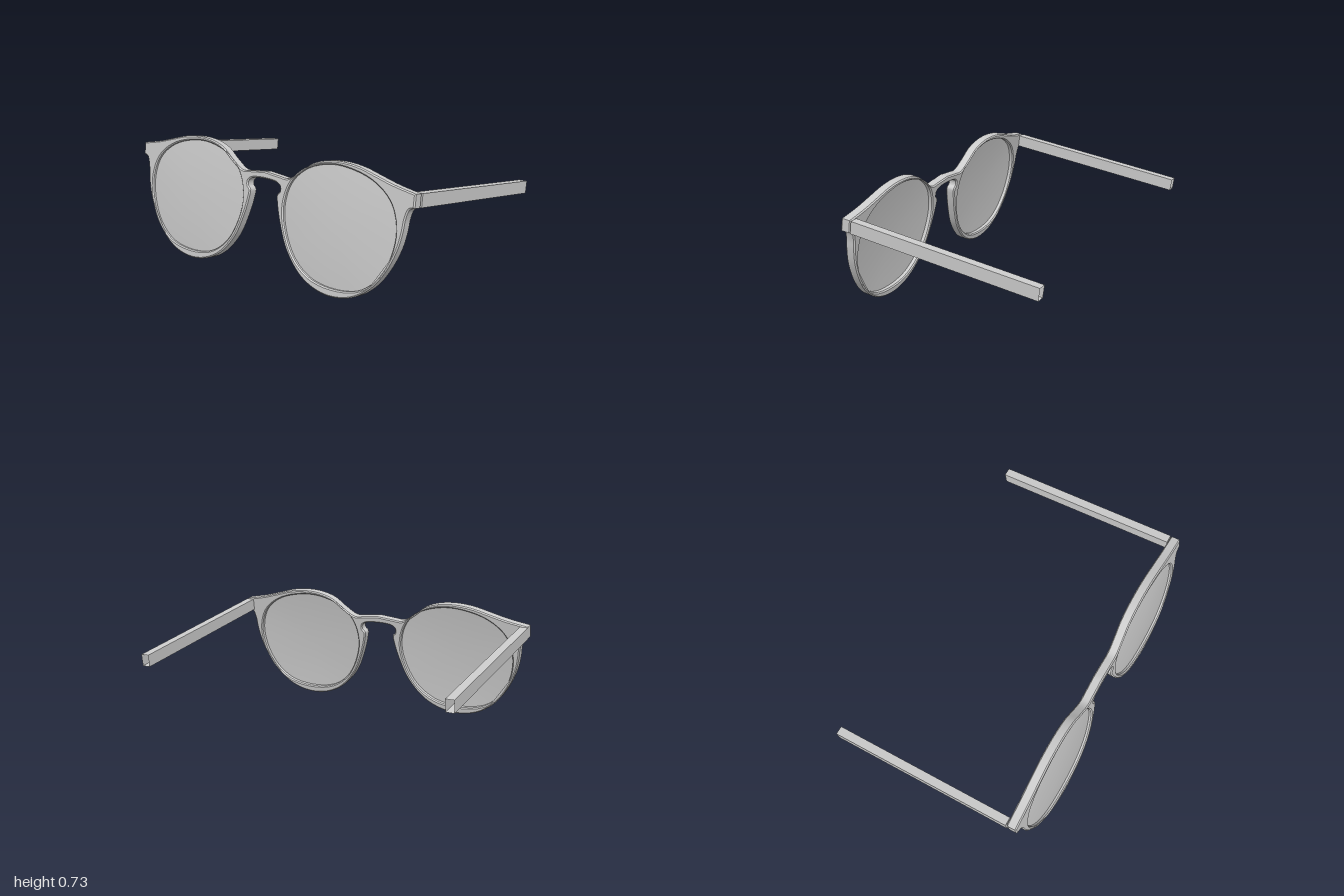
import * as THREE from 'three';
import { toCreasedNormals } from 'three/addons/utils/BufferGeometryUtils.js';

const TILT = THREE.MathUtils.degToRad(-8);
const DEPTH = 0.06;
const BEVEL = 0.007;

// Heights are given upright; lay them into the tilted plane of the front.
const toPlane = ([x, y]) => new THREE.Vector3(x, (y - 0.008) / 0.99, 0);

function smooth(points, count, closed = false) {
  const curve = new THREE.CatmullRomCurve3(points.map(toPlane), closed);
  const out = curve.getPoints(count).map((p) => new THREE.Vector2(p.x, p.y));
  if (closed) out.pop();
  return out;
}

const mirror = (points) => points.map((p) => new THREE.Vector2(-p.x, p.y)).reverse();

// Brow line, from the bridge to the outer corner
const BROW = [[0, 0.6], [0.1, 0.59], [0.17, 0.586], [0.25, 0.632], [0.33, 0.69], [0.425, 0.72],
  [0.53, 0.728], [0.64, 0.717], [0.757, 0.687], [0.86, 0.66], [0.998, 0.634]];

// Outer corner, round the rim, up to the nose notch and under the bridge
const RIM = [[0.998, 0.562], [0.968, 0.55], [0.95, 0.5], [0.943, 0.44], [0.922, 0.345], [0.865, 0.22],
  [0.785, 0.115], [0.67, 0.037], [0.53, 0.009], [0.41, 0.027], [0.3, 0.083], [0.195, 0.2],
  [0.135, 0.335], [0.105, 0.44], [0.1, 0.485], [0.118, 0.505], [0.118, 0.532], [0.095, 0.55],
  [0.05, 0.558], [0, 0.56]];

// Lens opening, counter-clockwise from the top
const OPENING = [[0.53, 0.705], [0.393, 0.693], [0.275, 0.647], [0.187, 0.56], [0.152, 0.433],
  [0.174, 0.305], [0.25, 0.166], [0.37, 0.08], [0.53, 0.053], [0.7, 0.08], [0.81, 0.16],
  [0.88, 0.283], [0.902, 0.433], [0.855, 0.567], [0.73, 0.66]];

function frameGeometry(openings) {
  const brow = smooth(BROW, 50);
  const rim = smooth(RIM, 100);
  const half = [...brow, ...rim];
  const shape = new THREE.Shape([...half, ...mirror(half).slice(1, -1)]);
  shape.holes = openings.map((o) => new THREE.Path(o));
  const geometry = new THREE.ExtrudeGeometry(shape, {
    depth: DEPTH - 2 * BEVEL, bevelEnabled: true, bevelThickness: BEVEL,
    bevelSize: BEVEL, bevelOffset: -BEVEL, bevelSegments: 1,
  });
  geometry.translate(0, 0, BEVEL);
  return toCreasedNormals(geometry, 0.5);
}

// Shallow domed lens: a lathe whose rings are stretched onto the opening outline
function lensGeometry(outline) {
  const steps = 8;
  const rise = (r) => 0.014 * (1 - r * r);
  const profile = [];
  for (let i = 0; i <= steps; i++) profile.push(new THREE.Vector2(i / steps, 0.028 + rise(i / steps)));
  for (let i = steps; i >= 0; i--) profile.push(new THREE.Vector2(i / steps, 0.04 + rise(i / steps)));
  const geometry = new THREE.LatheGeometry(profile, outline.length);
  const pos = geometry.attributes.position;
  const centre = new THREE.Vector2(Math.sign(outline[0].x) * 0.53, 0.38);
  const p = new THREE.Vector2();
  for (let i = 0; i < pos.count; i++) {
    const ring = Math.floor(i / profile.length) % outline.length;
    const point = profile[i % profile.length];
    p.lerpVectors(centre, outline[ring], point.x);
    pos.setXYZ(i, p.x, p.y, point.y);
  }
  return toCreasedNormals(geometry, 0.6);
}

// Straight hollow arm, open at its rear end
function templeGeometry() {
  const length = 1.133;
  const geometry = new THREE.BoxGeometry(0.05, 0.073, length);
  geometry.setIndex(Array.from(geometry.index.array).slice(0, 30));
  geometry.clearGroups();
  geometry.translate(0, 0, -length / 2);
  return geometry;
}

export function createModel() {
  const model = new THREE.Group();
  model.name = 'glasses';
  const solid = new THREE.MeshStandardMaterial({ color: 0xcccccc });
  const thin = new THREE.MeshStandardMaterial({ color: 0xcccccc, side: THREE.DoubleSide });

  // Everything shares the backward tilt of the front
  const tilted = new THREE.Group();
  tilted.name = 'tiltedAssembly';
  tilted.rotation.x = TILT;
  tilted.position.set(0, 0.001, 0.578);
  model.add(tilted);

  const add = (name, geometry, material) => {
    const mesh = new THREE.Mesh(geometry, material);
    mesh.name = name;
    tilted.add(mesh);
    return mesh;
  };

  const left = smooth(OPENING, 80, true);
  const right = mirror(left);
  add('frontFrame', frameGeometry([left, right]), solid);

  for (const [side, sign, outline] of [['left', 1, left], ['right', -1, right]]) {
    add(side + 'Lens', lensGeometry(outline), thin);
    add(side + 'Temple', templeGeometry(), thin).position.set(sign * 0.975, 0.596, -0.004);
  }
  return model;
}
